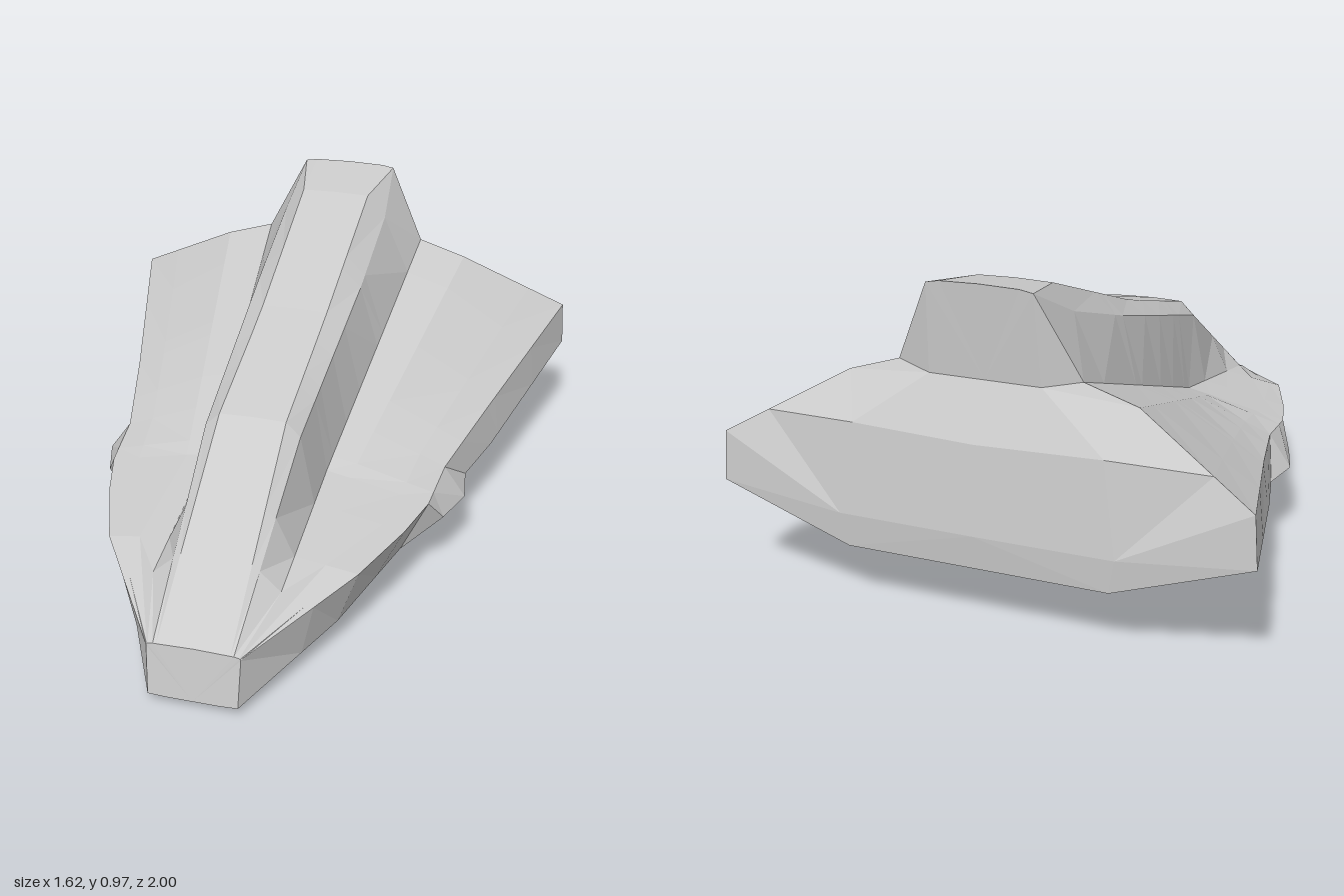
import * as THREE from 'three';

// Lengthwise edge lines on the +x side, nose to stern, as [x, y, z] corners
const ridgeTop = [[.11, .2, .98], [.105, .61, .36], [.107, .73, -.1], [.115, .935, -.7], [.12, .97, -.92]];
const shoulder = [[.12, .2, .98], [.15, .565, .36], [.175, .752, -.34], [.178, .86, -.7], [.16, .963, -.92]];
const ridgeFoot = [[.135, .197, .98], [.195, .275, .75], [.195, .36, .2], [.28, .72, -.87]];
const innerWing = [[.138, .195, .98], [.29, .285, .6], [.27, .345, .2], [.44, .67, -.87]];
const wingRim = [[.14, .19, .98], [.39, .27, .6], [.52, .285, .25], [.54, .31, 0], [.625, .36, -.34], [.8, .47, -.985]];
const chine = [[.135, .033, 1], [.33, .09, .6], [.44, .105, .2], [.565, .21, .14], [.61, .21, 0],
  [.59, .21, -.14], [.645, .22, -.34], [.81, .32, -.99]];
const bellyEdge = [[.08, .03, 1], [.26, .05, .2], [.28, 0, .14], [.28, .078, -.34], [.29, .14, -.4], [.4, .18, -.99]];

// Places between nose and stern where the hull is cut into sections
const cuts = [.75, .6, .36, .2, .14, 0, -.14, -.34, -.4, -.7];

// Point on an edge line at a given z
function pointAt(line, z) {
  const k = line.findIndex((p) => p[2] <= z);
  const [a, b] = [line[k - 1], line[k]];
  const t = (a[2] - z) / (a[2] - b[2]);
  return a.map((v, i) => v + (b[i] - v) * t);
}

// Flat-shaded mesh from convex polygons on the +x half, mirrored across x = 0
function mirroredMesh(name, polygons) {
  const pos = [];
  for (const p of polygons) {
    for (let i = 1; i < p.length - 1; i++) {
      const tri = [p[0], p[i], p[i + 1]];
      for (const v of tri) pos.push(...v);
      for (const v of tri.reverse()) pos.push(-v[0], v[1], v[2]);
    }
  }
  const geometry = new THREE.BufferGeometry();
  geometry.setAttribute('position', new THREE.Float32BufferAttribute(pos, 3));
  geometry.computeVertexNormals();
  const mesh = new THREE.Mesh(geometry, new THREE.MeshStandardMaterial({ color: 0xcccccc, flatShading: true }));
  mesh.name = name;
  return mesh;
}

// Full set of edge lines sampled by one rule, from spine round to keel
function section(sample) {
  const [top, side, foot, inner, rim, low, belly] =
    [ridgeTop, shoulder, ridgeFoot, innerWing, wingRim, chine, bellyEdge].map(sample);
  const spine = [0, top[1] + .003, top[2]];
  const outer = inner.map((v, i) => v + (rim[i] - v) * .65);
  const keel = [0, belly[1], belly[2]];
  return [spine, top, side, foot, inner, outer, rim, low, belly, keel];
}

export function createModel() {
  const group = new THREE.Group();
  group.name = 'wingedHull';

  const nose = section((line) => line[0]);
  const stern = section((line) => line[line.length - 1]);
  const rings = [nose, ...cuts.map((z) => section((line) => pointAt(line, z))), stern];

  // Skin between neighbouring sections
  const strip = (from, to) => {
    const quads = [];
    for (let s = 0; s < rings.length - 1; s++) {
      for (let j = from; j < to; j++) {
        quads.push([rings[s][j], rings[s][j + 1], rings[s + 1][j + 1], rings[s + 1][j]]);
      }
    }
    return quads;
  };
  group.add(mirroredMesh('centralRidge', strip(0, 3)));
  group.add(mirroredMesh('wings', strip(3, 6)));
  group.add(mirroredMesh('sideWalls', strip(6, 7)));
  group.add(mirroredMesh('belly', strip(7, 9)));

  // Blunt nose
  group.add(mirroredMesh('nose', [[...nose].reverse()]));

  // Stern: ridge end, sloped shelf and upright back plate
  const [spine, top, side, foot, inner, outer, rim, low, belly, keel] = stern;
  const endMid = [0, .7, -.9], endSide = [.17, .7, -.9];
  const shelfMid = [0, .54, -.978], shelfSide = [.38, .55, -.972];
  const plateMid = [0, .28, -1], plateSide = [.42, .28, -.997];
  group.add(mirroredMesh('ridgeEnd', [[endMid, spine, top, side, endSide], [side, foot, endSide]]));
  group.add(mirroredMesh('sternShelf', [
    [endMid, endSide, shelfSide, shelfMid], [endSide, foot, inner, shelfSide], [inner, outer, shelfSide],
  ]));
  group.add(mirroredMesh('sternPlate', [
    [shelfMid, shelfSide, plateSide, plateMid], [plateSide, shelfSide, outer, rim, low],
    [plateSide, low, belly], [plateMid, plateSide, belly, keel],
  ]));

  return group;
}
